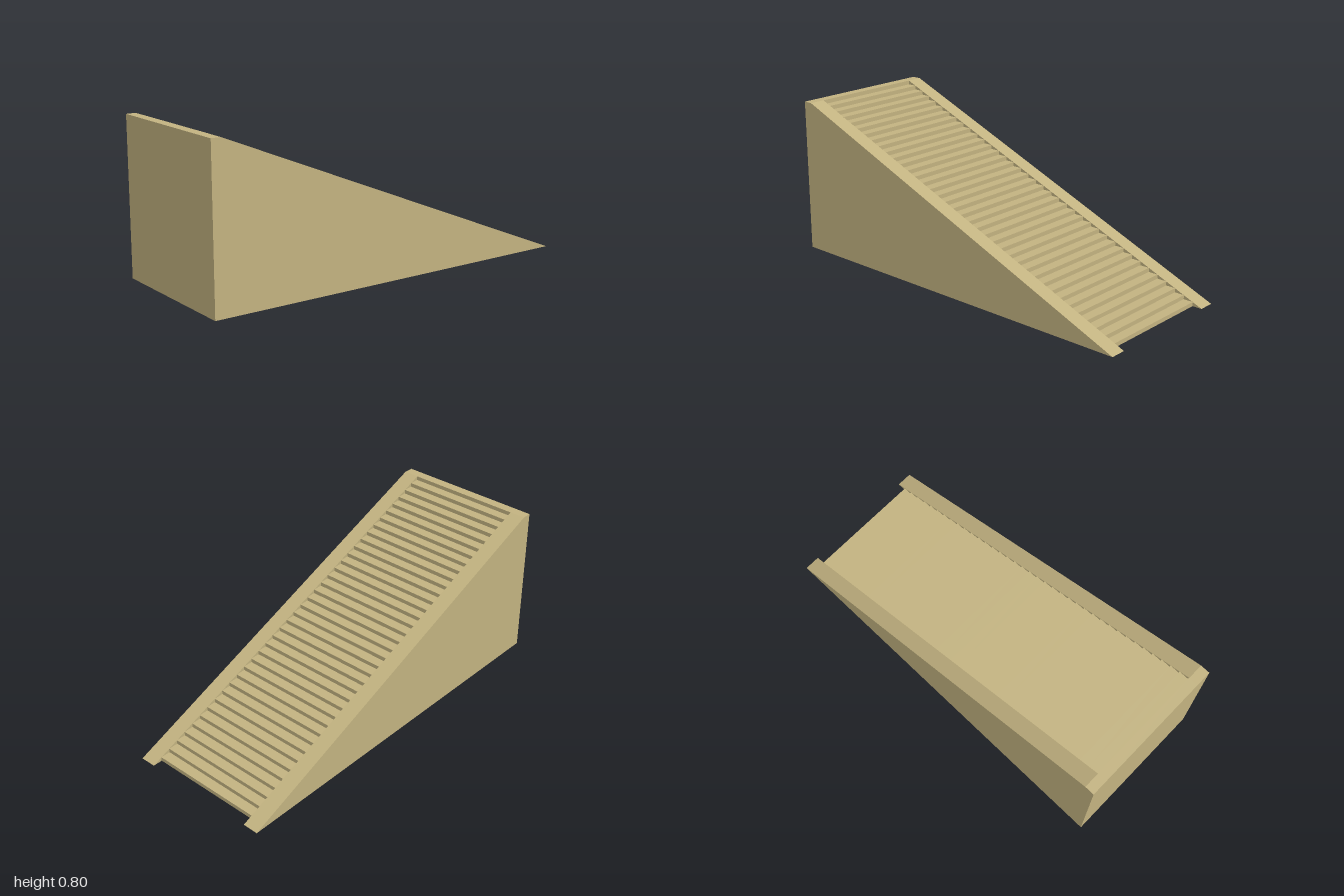
import * as THREE from 'three';

const HEIGHT = 0.796, HALF_WIDTH = 0.387, STAIR_HALF = 0.305;
const STEPS = 38, RISE = HEIGHT / STEPS, RUN = 1.9 / (STEPS - 1);

// Extrude a side profile of [z, y] points across x, centred on x = 0
function extrudeAcross(points, width) {
  const shape = new THREE.Shape(points.map(([z, y]) => new THREE.Vector2(z, y)));
  const geometry = new THREE.ExtrudeGeometry(shape, { depth: width, bevelEnabled: false });
  geometry.translate(0, 0, -width / 2);
  geometry.rotateY(-Math.PI / 2);
  return geometry;
}

export function createModel() {
  const group = new THREE.Group();
  group.name = 'staircase';
  const sandstone = new THREE.MeshStandardMaterial({ color: 0xc2b280 });
  sandstone.name = 'sandstone';

  // Solid flight of steps climbing from the back to the tall front wall
  const profile = [[1, 0], [1, HEIGHT]];
  for (let i = STEPS - 1; i >= 0; i--) {
    const z = -0.95 + i * RUN;
    profile.push([z, (i + 1) * RISE], [z, i * RISE]);
  }
  const steps = new THREE.Mesh(extrudeAcross(profile, STAIR_HALF * 2), sandstone);
  steps.name = 'steps';
  group.add(steps);

  // Sloping side ramps, level with the step edges
  const rampProfile = [[-1, 0], [1, 0], [1, HEIGHT], [0.951, HEIGHT]];
  for (const side of [-1, 1]) {
    const ramp = new THREE.Mesh(extrudeAcross(rampProfile, HALF_WIDTH - STAIR_HALF), sandstone);
    ramp.name = side > 0 ? 'leftRamp' : 'rightRamp';
    ramp.position.x = side * (HALF_WIDTH + STAIR_HALF) / 2;
    group.add(ramp);
  }
  return group;
}
